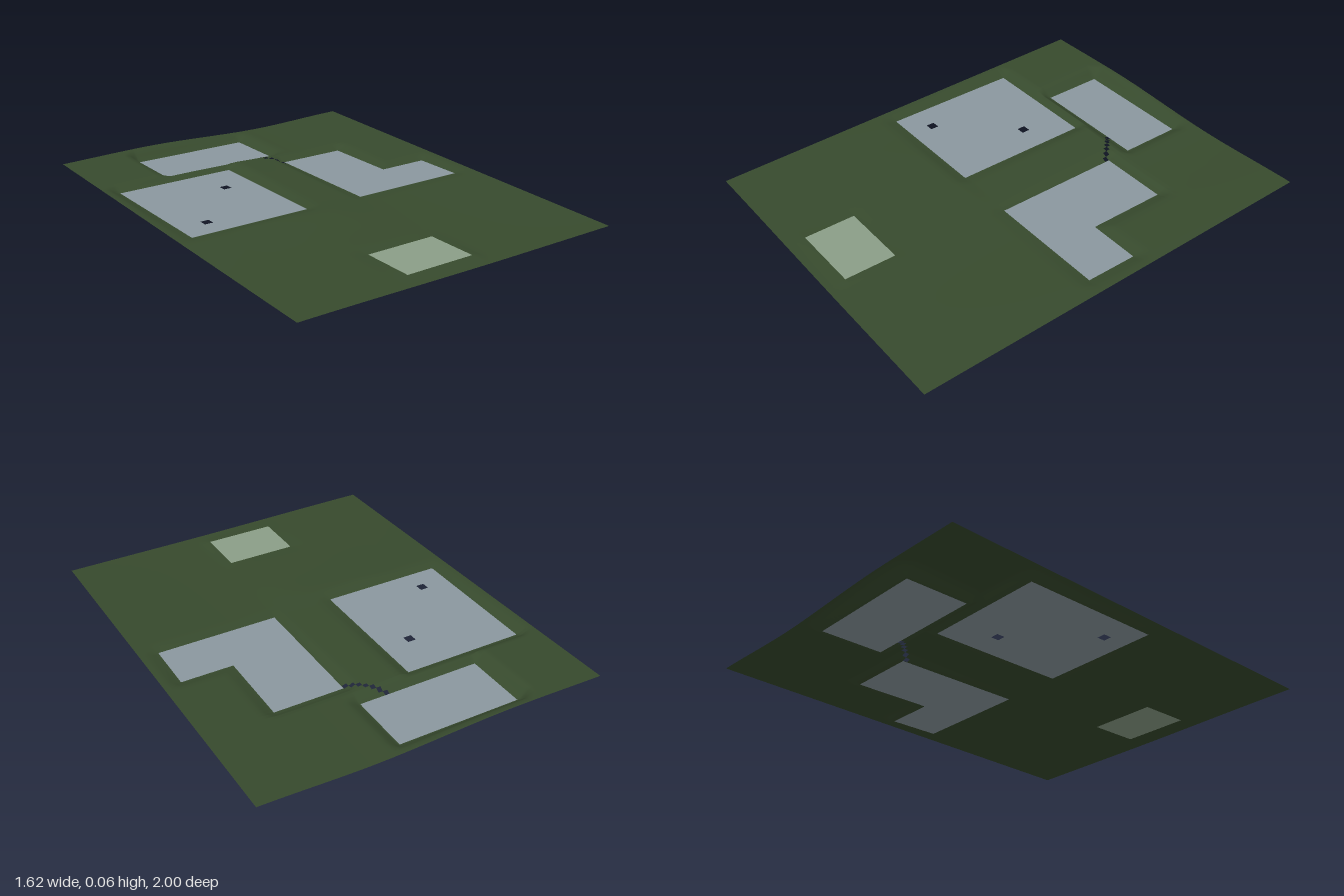
import * as THREE from 'three';

const mat = (name, color) => new THREE.MeshStandardMaterial({ name, color, side: THREE.DoubleSide });
const { lerp, smoothstep } = THREE.MathUtils;

// Level pads: corner points as x, z, cut into the slope at height y
const pads = [
  { name: 'backPad', y: 0.014, paint: 'paving', rects: [[-0.44, -0.92, 0.14, -0.625]],
    outline: [[-0.44, -0.92], [0.14, -0.92], [0.14, -0.625], [-0.44, -0.625]] },
  { name: 'leftPad', y: 0.02, paint: 'paving', rects: [[-0.73, -0.545, -0.15, 0.12]],
    outline: [[-0.73, -0.545], [-0.15, -0.545], [-0.15, 0.12], [-0.73, 0.12]],
    holes: [[-0.295, -0.335], [-0.59, 0]] },
  { name: 'rightPad', y: 0.015, paint: 'paving', rects: [[0.145, -0.5, 0.475, 0.12], [0.145, -0.125, 0.72, 0.12]],
    outline: [[0.145, -0.5], [0.475, -0.5], [0.475, -0.125], [0.72, -0.125], [0.72, 0.12], [0.145, 0.12]] },
  { name: 'frontPad', y: 0.011, paint: 'paleGreen', rects: [[-0.235, 0.665, 0.1, 0.91]],
    outline: [[-0.235, 0.665], [0.1, 0.665], [0.1, 0.91], [-0.235, 0.91]] },
];

// Diagonal row of small square openings between two pads
const openings = [];
for (let i = 0; i < 7; i++) {
  const x = -0.004 + i * 0.021, z = -0.625 + i * 0.0205;
  openings.push([x, z, x + 0.021, z + 0.0205]);
}
const cuts = [...pads.flatMap(p => p.rects), ...openings];

// Gap from a point to a rectangle, zero inside
const gap = (x, z, [x0, z0, x1, z1]) =>
  Math.hypot(Math.max(x0 - x, 0, x - x1), Math.max(z0 - z, 0, z - z1));

// Natural slope, with wavy back edge and graded banks round the pads
function height(x, z) {
  const front = lerp(0.011, 0.002, smoothstep(x, -0.8, 0.25));
  const back = x < 0.3
    ? lerp(0.062, 0.042, smoothstep(x, -0.35, 0.3)) - 0.01 * smoothstep(-x, 0.35, 0.95)
    : lerp(0.042, 0.057, smoothstep(x, 0.3, 0.85));
  let y = lerp(front, back, (1 - z) / 2);
  // low bank in front of the two middle pads
  const dz = (z - 0.19) / (z < 0.19 ? 0.05 : 0.16);
  y += 0.006 * Math.exp(-dz * dz) * smoothstep(x, -0.6, -0.35) * (1 - smoothstep(x, -0.1, 0.15));
  for (const p of pads) {
    const d = Math.min(...p.rects.map(r => gap(x, z, r)));
    y = lerp(p.y, y, smoothstep(d, 0, 0.06));
  }
  return y;
}

// Evenly spaced grid lines plus the edges of every cut
function gridLines(min, max, n, edges) {
  const all = [...edges];
  for (let i = 0; i <= n; i++) all.push(lerp(min, max, i / n));
  all.sort((a, b) => a - b);
  return all.filter((v, i) => i === 0 || v - all[i - 1] > 1e-6);
}

function lawnGeometry() {
  const xs = gridLines(-0.81, 0.81, 72, cuts.flatMap(r => [r[0], r[2]]));
  const zs = gridLines(-1, 1, 88, cuts.flatMap(r => [r[1], r[3]]));
  const pos = [], index = [];
  for (const z of zs) for (const x of xs) pos.push(x, height(x, z), z);
  for (let j = 0; j < zs.length - 1; j++) {
    for (let i = 0; i < xs.length - 1; i++) {
      const cx = (xs[i] + xs[i + 1]) / 2, cz = (zs[j] + zs[j + 1]) / 2;
      if (cuts.some(r => gap(cx, cz, r) === 0)) continue;
      const a = j * xs.length + i, b = a + 1, c = a + xs.length, d = c + 1;
      index.push(a, c, b, b, c, d);
    }
  }
  const g = new THREE.BufferGeometry();
  g.setAttribute('position', new THREE.Float32BufferAttribute(pos, 3));
  g.setIndex(index);
  g.computeVertexNormals();
  return g;
}

// Flat sheet with optional square holes
function padGeometry({ outline, holes = [], y }) {
  const points = list => list.map(([x, z]) => new THREE.Vector2(x, -z));
  const shape = new THREE.Shape(points(outline));
  const s = 0.02;
  for (const [x, z] of holes) {
    shape.holes.push(new THREE.Path(points([[x - s, z - s], [x + s, z - s], [x + s, z + s], [x - s, z + s]])));
  }
  return new THREE.ShapeGeometry(shape).rotateX(-Math.PI / 2).translate(0, y, 0);
}

export function createModel() {
  const materials = {
    grass: mat('grass', 0x374a2d),
    paving: mat('paving', 0x8b989f),
    paleGreen: mat('paleGreen', 0x8b9e87),
  };
  const model = new THREE.Group();
  model.name = 'terrain';
  const add = (name, geometry, material) => {
    const mesh = new THREE.Mesh(geometry, material);
    mesh.name = name;
    model.add(mesh);
  };
  add('lawn', lawnGeometry(), materials.grass);
  for (const p of pads) add(p.name, padGeometry(p), materials[p.paint]);
  return model;
}
